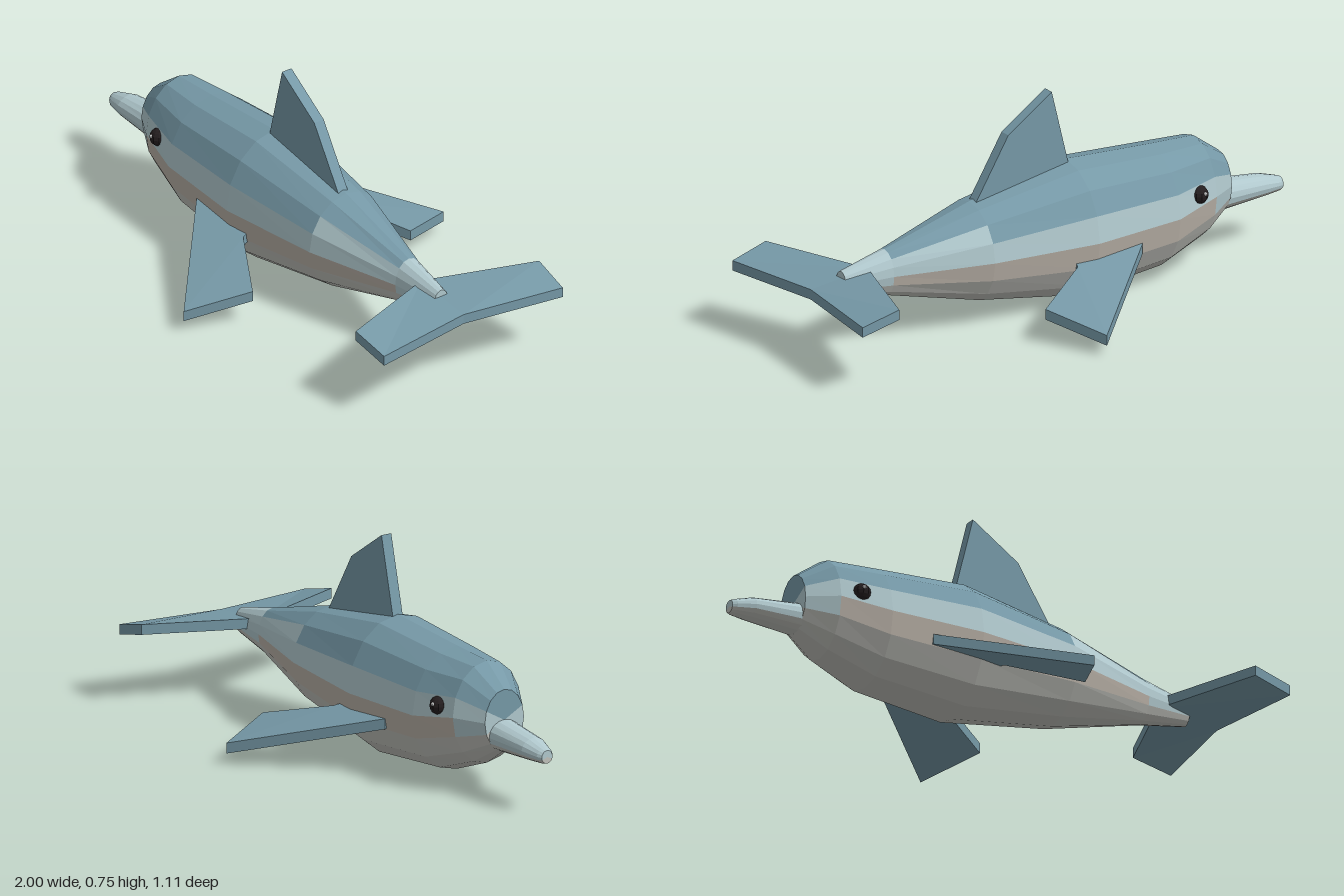
import * as THREE from 'three';

const mat = (name, color) => Object.assign(new THREE.MeshStandardMaterial({ color, flatShading: true }), { name });

const fromTriangles = (tris) => {
  const g = new THREE.BufferGeometry();
  g.setAttribute('position', new THREE.Float32BufferAttribute(tris.flat(2), 3));
  g.computeVertexNormals();
  return g;
};

// Closed slab: a fan over the outline, its offset copy and the rim between them
function slab(points, off) {
  const low = points.map((p) => p.map((v, k) => v + off[k]));
  const tris = [];
  points.forEach((p, i) => {
    const j = (i + 1) % points.length;
    if (i > 0 && j > 0) {
      tris.push([points[0], p, points[j]], [low[0], low[j], low[i]]);
    }
    tris.push([p, low[i], low[j]], [p, low[j], points[j]]);
  });
  return fromTriangles(tris);
}
const mirrorZ = (points) => points.map(([x, y, z]) => [x, y, -z]).reverse();

// Loft of elliptical rings [x, top, bottom, halfWidth] along x, sorted into colour bins
function loft(rings, sides, pick) {
  const bins = {};
  const add = (key, ...tris) => (bins[key] ??= []).push(...tris);
  const pt = (i, j) => {
    const [x, top, bottom, w] = rings[i];
    const a = ((j % sides) / sides) * Math.PI * 2;
    return [x, (top + bottom) / 2 + ((top - bottom) / 2) * Math.cos(a), w * Math.sin(a)];
  };
  const mid = (i) => [rings[i][0], (rings[i][1] + rings[i][2]) / 2, 0];
  const last = rings.length - 1;
  for (let j = 0; j < sides; j++) {
    const row = Math.min(j, sides - 1 - j);
    for (let i = 0; i < last; i++) {
      const [a, b, c, d] = [pt(i, j), pt(i, j + 1), pt(i + 1, j + 1), pt(i + 1, j)];
      add(pick(i, row), [a, b, c], [a, c, d]);
    }
    add(pick(0, row), [mid(0), pt(0, j + 1), pt(0, j)]);
    add(pick(last - 1, row), [mid(last), pt(last, j), pt(last, j + 1)]);
  }
  return bins;
}

export function createModel() {
  const model = new THREE.Group();
  const blue = mat('blue skin', 0x7699a7);
  const pale = mat('pale skin', 0xb0c8cd);
  const warm = mat('warm grey', 0xbab2a8);
  const belly = mat('belly grey', 0xc0c1bb);
  const black = mat('eye black', 0x241e1f);
  const white = mat('eye glint', 0xf2f2f2);
  const add = (name, geometry, material) => {
    const mesh = new THREE.Mesh(geometry, material);
    mesh.name = name;
    model.add(mesh);
    return mesh;
  };

  // Body: blue back, pale flank widening to the tail, warm lower flank, grey underside
  const body = loft([
    [-0.745, 0.38, 0.165, 0.08],
    [-0.64, 0.457, 0.097, 0.14],
    [-0.46, 0.467, 0.032, 0.182],
    [-0.11, 0.492, 0.003, 0.203],
    [0.29, 0.428, 0.075, 0.155],
    [0.64, 0.335, 0.168, 0.058],
    [0.82, 0.295, 0.205, 0.03],
  ], 16, (i, row) => {
    if (row >= 5) return 'underside';
    if (row === 4) return i > 0 && i < 5 ? 'lowerFlank' : 'flank';
    return row < [3, 3, 3, 3, 2, 0][i] ? 'back' : 'flank';
  });
  const skins = { back: blue, flank: pale, lowerFlank: warm, underside: belly };
  for (const [name, tris] of Object.entries(body)) add(name, fromTriangles(tris), skins[name]);

  // Beak
  const beak = loft([
    [-1, 0.226, 0.18, 0.022],
    [-0.985, 0.232, 0.177, 0.032],
    [-0.92, 0.252, 0.174, 0.05],
    [-0.7, 0.28, 0.162, 0.066],
  ], 16, (i, row) => (row < 5 ? 'beak' : 'beakUnderside'));
  add('beak', fromTriangles(beak.beak), pale);
  add('beakUnderside', fromTriangles(beak.beakUnderside), belly);

  // Dorsal fin
  add('dorsalFin', slab([
    [-0.12, 0.44, 0.02], [0.29, 0.4, 0.02], [0.14, 0.64, 0.02], [-0.04, 0.757, 0.02],
  ], [0, 0, -0.04]), blue);

  // Flippers and tail flukes, mirrored across the body
  const flipper = [
    [-0.02, 0.183, 0.2], [-0.05, 0.205, 0.12], [-0.3, 0.215, 0.12],
    [-0.3, 0.2, 0.185], [0.11, 0.077, 0.553], [0.21, 0.125, 0.335],
  ];
  const fluke = [[0.71, 0.282, 0], [0.855, 0.288, 0.39], [1, 0.253, 0.38], [0.945, 0.257, 0]];
  const flipperRight = mirrorZ(flipper);
  flipperRight.unshift(flipperRight.pop()); // keep the fan centre first
  add('leftFlipper', slab(flipper, [0, -0.037, 0]), blue);
  add('rightFlipper', slab(flipperRight, [0, -0.037, 0]), blue);
  add('leftFluke', slab(fluke, [0, -0.036, 0]), blue);
  add('rightFluke', slab(mirrorZ(fluke), [0, -0.036, 0]), blue);

  // Eyes with a small glint
  for (const s of [1, -1]) {
    add('eye', new THREE.SphereGeometry(0.032, 10, 8), black).position.set(-0.563, 0.305, s * 0.145);
    add('eyeGlint', new THREE.SphereGeometry(0.007, 8, 6), white).position.set(-0.569, 0.314, s * 0.173);
  }
  return model;
}
